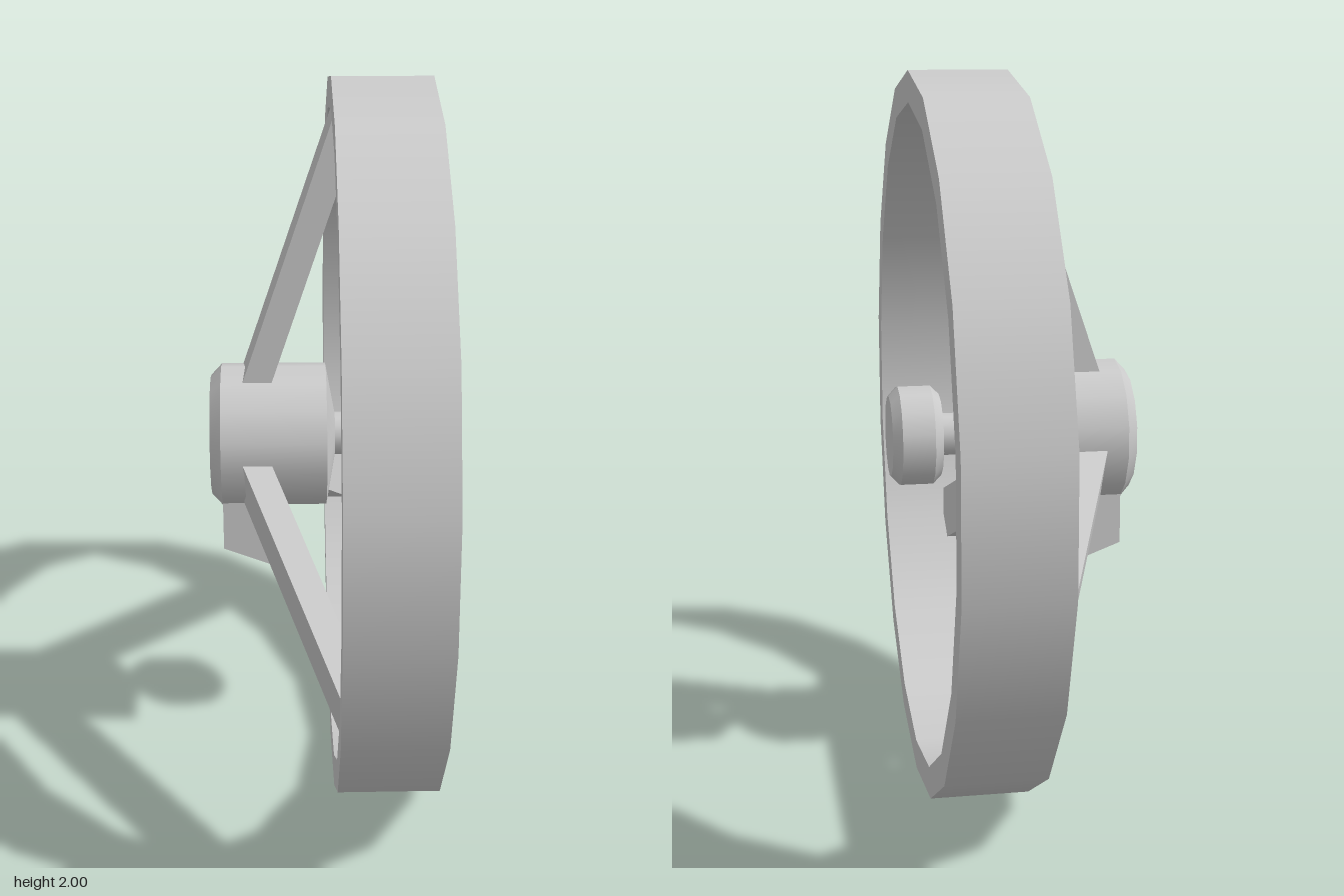
import * as THREE from 'three';
import { mergeGeometries } from 'three/addons/utils/BufferGeometryUtils.js';

const material = new THREE.MeshStandardMaterial({ color: 0xcccccc });

function addMesh(parent, name, geometry) {
  const mesh = new THREE.Mesh(geometry, material);
  mesh.name = name;
  parent.add(mesh);
  return mesh;
}

// Turned part along x from [x, radius] points: smooth around, sharp at each profile corner
function turned(profile, sides) {
  const bands = [];
  for (let i = 0; i < profile.length - 1; i++) {
    const points = [profile[i], profile[i + 1]].map(([x, r]) => new THREE.Vector2(r, x));
    bands.push(new THREE.LatheGeometry(points, sides, Math.PI / 2));
  }
  return mergeGeometries(bands).rotateZ(-Math.PI / 2);
}

// Prism with an outline in x and y, centred on z
function prism(outline, width) {
  const shape = new THREE.Shape(outline.map(([x, y]) => new THREE.Vector2(x, y)));
  return new THREE.ExtrudeGeometry(shape, { depth: width, bevelEnabled: false })
    .translate(0, 0, -width / 2);
}

export function createModel() {
  const model = new THREE.Group();
  model.name = 'handwheel';
  const wheel = new THREE.Group();
  wheel.name = 'wheel';
  wheel.position.y = 1; // axle height
  model.add(wheel);

  // Rim: a broad 18-sided ring
  addMesh(wheel, 'rim', turned(
    [[0, 1], [0.27, 1], [0.27, 0.915], [0, 0.915], [0, 1]], 18));

  // Hub with a bevelled back and a shallow cone on the rim side
  addMesh(wheel, 'hub', turned(
    [[-0.335, 0], [-0.335, 0.168], [-0.305, 0.2], [-0.015, 0.2], [0.01, 0.06]], 14));

  // Axle neck and knob
  addMesh(wheel, 'neck', turned([[0, 0.06], [0.23, 0.06]], 14));
  addMesh(wheel, 'knob', turned(
    [[0.19, 0.06], [0.195, 0.115], [0.22, 0.14], [0.31, 0.14], [0.335, 0.113], [0.335, 0]], 14));

  // Three slanted spokes from the hub to the inside of the rim
  const spoke = prism([[-0.245, 0.18], [-0.165, 0.18], [0.085, 0.92], [0.007, 0.92]], 0.166);
  for (let i = 0; i < 3; i++) {
    addMesh(wheel, 'spoke' + (i + 1), spoke).rotation.x = i * Math.PI * 2 / 3;
  }

  // Lug under the hub with a sloping bottom
  addMesh(wheel, 'lug', prism(
    [[-0.305, -0.31], [-0.135, -0.375], [-0.135, -0.12], [-0.305, -0.12]], 0.2));

  return model;
}
